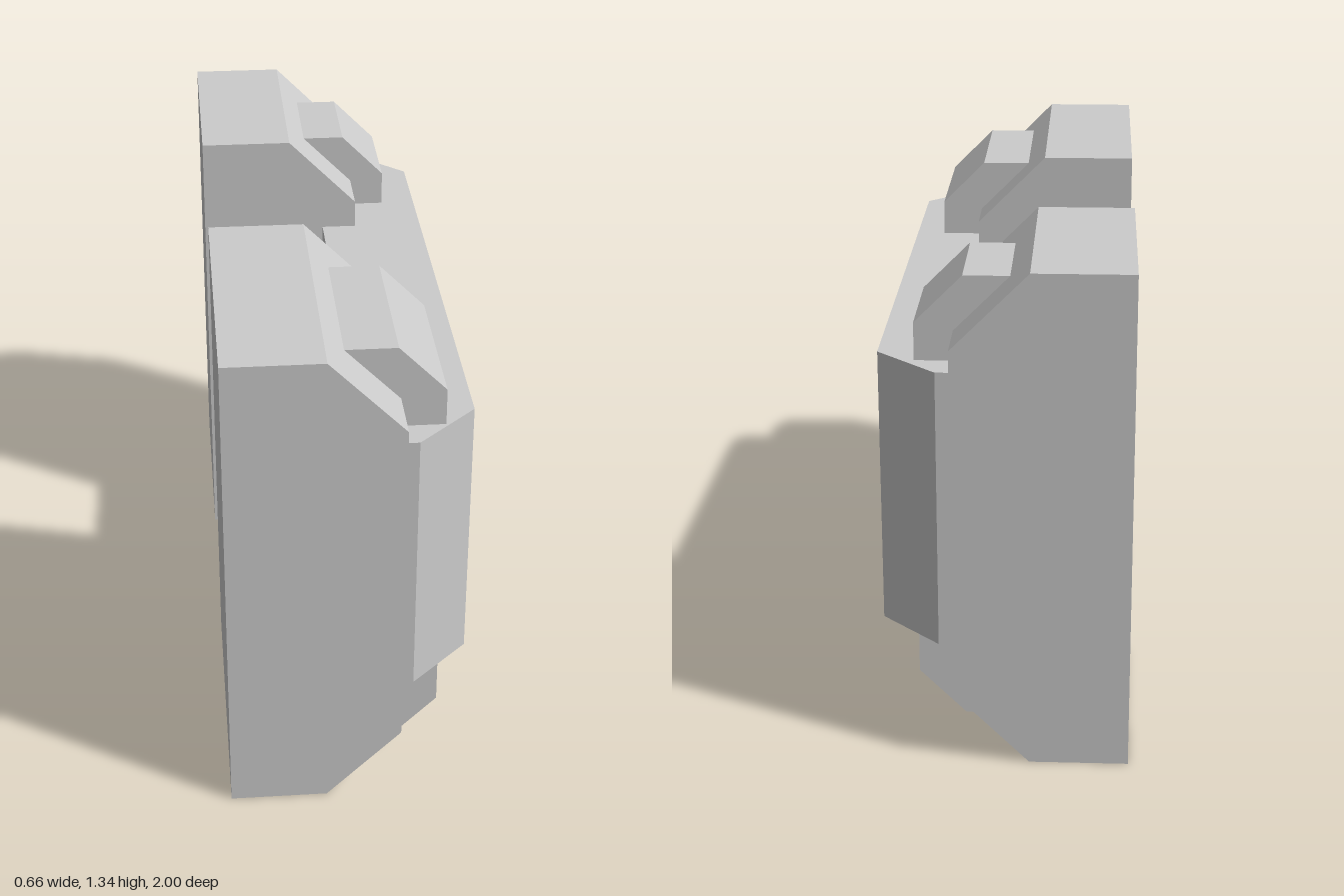
import * as THREE from 'three';

const material = new THREE.MeshStandardMaterial({ color: 0xcccccc, flatShading: true });

// Extrude a closed outline of [a, b] points along +z.
function prism(points, depth) {
  const shape = new THREE.Shape(points.map(([a, b]) => new THREE.Vector2(a, b)));
  return new THREE.ExtrudeGeometry(shape, { depth, bevelEnabled: false });
}

// Upright slab whose outer (+x) top and bottom edges are chamfered.
function chamferedSlab(name, x0, x1, y0, y1, z0, z1, cut) {
  const geometry = prism([
    [x0, y0], [x1 - cut, y0], [x1, y0 + cut],
    [x1, y1 - cut], [x1 - cut, y1], [x0, y1],
  ], z1 - z0);
  geometry.translate(0, 0, z0);
  const mesh = new THREE.Mesh(geometry, material);
  mesh.name = name;
  return mesh;
}

export function createModel() {
  const model = new THREE.Group();
  model.name = 'bracket';

  // Two large blocks, the front one wider
  model.add(chamferedSlab('frontBlock', -0.33, 0.13, 0, 1.34, 0.21, 1, 0.2));
  model.add(chamferedSlab('backBlock', -0.33, 0.13, 0, 1.34, -1, -0.37, 0.2));

  // Raised ribs wrapping the outer side of each block
  model.add(chamferedSlab('frontRib', -0.1, 0.247, 0.053, 1.285, 0.37, 0.835, 0.125));
  model.add(chamferedSlab('backRib', -0.1, 0.23, 0.053, 1.285, -0.838, -0.535, 0.125));

  // Long cross bar joining the blocks, its outer ends chamfered
  const y0 = 0.305, y1 = 1.06;
  const barGeometry = prism([
    [0.03, -0.92], [0.17, -0.92], [0.33, -0.765],
    [0.33, 0.775], [0.17, 0.93], [0.03, 0.93],
  ], y1 - y0);
  barGeometry.rotateX(-Math.PI / 2).translate(0, y0, 0);
  const bar = new THREE.Mesh(barGeometry, material);
  bar.name = 'crossBar';
  model.add(bar);

  return model;
}
